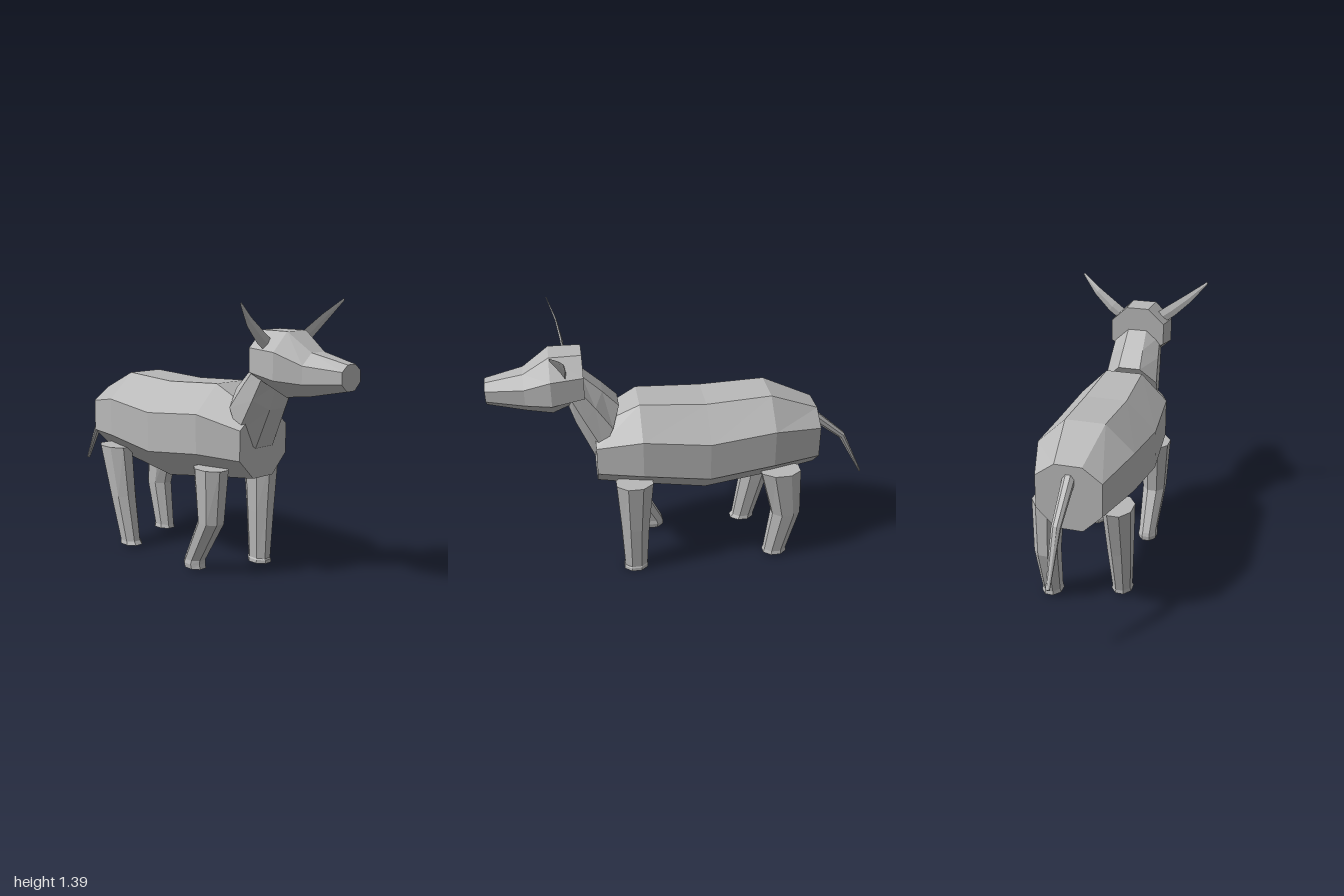
import * as THREE from 'three';

const hide = new THREE.MeshStandardMaterial({ color: 0xb8b8b8 });
hide.name = 'grey hide';

const K = 0.414; // corner ratio of a regular octagon
const OCTAGON = [[1, -K], [1, K], [K, 1], [-K, 1], [-1, K], [-1, -K], [-K, -1], [K, -1]];
const DIAMOND = [[1, 0], [0, 1], [-1, 0], [0, -1]];
const V = (x, y, z) => new THREE.Vector3(x, y, z);

// Cross-section placed at c, spanned by the half-axes u and v
function ring(c, u, v, outline = OCTAGON) {
  return outline.map(([a, b]) => c.clone().addScaledVector(u, a).addScaledVector(v, b));
}

// Upright octagon with its own heights for top, shoulders and bottom
function uprightRing([z, w, top, upper, lower, bottom]) {
  const f = w * K;
  return [V(w, lower, z), V(w, upper, z), V(f, top, z), V(-f, top, z),
    V(-w, upper, z), V(-w, lower, z), V(-f, bottom, z), V(f, bottom, z)];
}

// Faceted skin through the rings, closed by flat caps
function loft(name, rings) {
  const tris = [];
  const n = rings[0].length;
  for (let i = 0; i + 1 < rings.length; i++) {
    for (let j = 0; j < n; j++) {
      const k = (j + 1) % n;
      const a = rings[i][j], b = rings[i][k], c = rings[i + 1][k], d = rings[i + 1][j];
      tris.push([a, b, c], [a, c, d]);
    }
  }
  const first = rings[0], last = rings[rings.length - 1];
  for (let j = 1; j + 1 < n; j++) {
    tris.push([first[0], first[j + 1], first[j]], [last[0], last[j], last[j + 1]]);
  }
  // Turn the faces outward if the enclosed volume is negative
  let volume = 0;
  for (const [a, b, c] of tris) volume += a.dot(b.clone().cross(c));
  if (volume < 0) tris.forEach((t) => t.reverse());
  const geometry = new THREE.BufferGeometry().setFromPoints(tris.flat());
  geometry.computeVertexNormals();
  const mesh = new THREE.Mesh(geometry, hide);
  mesh.name = name;
  return mesh;
}

// Leg from horizontal rings: [y, z, half width in x, half depth in z]
function leg(name, side, stations) {
  return loft(name, stations.map(([y, z, rx, rz]) =>
    ring(V(side * (0.172 + 0.008 * y / 0.56), y, z), V(rx, 0, 0), V(0, 0, rz))));
}

// Ring in a tilted plane, between a back point and a front point in the yz plane
function tiltedRing([w, backY, backZ, frontY, frontZ]) {
  const centre = V(0, (backY + frontY) / 2, (backZ + frontZ) / 2);
  return ring(centre, V(w, 0, 0), V(0, (backY - frontY) / 2, (backZ - frontZ) / 2));
}

export function createModel() {
  const model = new THREE.Group();
  model.name = 'horned animal';

  // Barrel body: z, half width, top, upper side, lower side, bottom
  model.add(loft('body', [
    [0.48, 0.165, 0.85, 0.77, 0.62, 0.52],
    [0.25, 0.24, 0.97, 0.83, 0.63, 0.495],
    [-0.09, 0.265, 0.95, 0.8, 0.595, 0.445],
    [-0.43, 0.245, 0.965, 0.83, 0.63, 0.49],
    [-0.69, 0.165, 0.855, 0.785, 0.615, 0.52],
  ].map(uprightRing)));

  // Neck
  model.add(loft('neck', [
    [0.147, 0.955, 0.35, 0.67, 0.485],
    [0.135, 1.04, 0.43, 0.87, 0.57],
    [0.125, 1.13, 0.525, 1.0, 0.61],
  ].map(tiltedRing)));

  // Head tapering to the muzzle
  model.add(loft('head', [
    [0.52, 0.15, 1.25, 1.17, 1.055, 1.01],
    [0.68, 0.16, 1.25, 1.16, 1.03, 0.945],
    [0.81, 0.11, 1.16, 1.105, 1.02, 0.96],
    [1.0, 0.066, 1.12, 1.09, 1.035, 1.0],
  ].map(uprightRing)));

  // Thin, swept horns: x, y, z, half height, half thickness
  for (const side of [1, -1]) {
    model.add(loft(side > 0 ? 'leftHorn' : 'rightHorn', [
      [0.1, 1.175, 0.605, 0.034, 0.007],
      [0.17, 1.225, 0.61, 0.034, 0.007],
      [0.265, 1.3, 0.63, 0.024, 0.005],
      [0.36, 1.385, 0.67, 0.006, 0.002],
    ].map(([x, y, z, h, t]) =>
      ring(V(side * x, y, z), V(-side * 0.62 * h, 0.78 * h, 0), V(-side * 0.3 * t, 0, t), DIAMOND))));
  }

  // Tail: y, z, half width, half thickness
  model.add(loft('tail', [
    [0.79, -0.67, 0.03, 0.028],
    [0.63, -0.865, 0.022, 0.018],
    [0.38, -0.995, 0.01, 0.006],
  ].map(([y, z, w, t]) => ring(V(0, y, z), V(w, 0, 0), V(0, 0.7 * t, -0.7 * t)))));

  // Legs with small flared feet
  model.add(leg('frontLeftLeg', 1, [
    [0.56, 0.295, 0.072, 0.095], [0.28, 0.3, 0.061, 0.073],
    [0.025, 0.302, 0.047, 0.06], [0.018, 0.303, 0.051, 0.064], [0, 0.303, 0.052, 0.064],
  ]));
  model.add(leg('frontRightLeg', -1, [
    [0.56, 0.295, 0.072, 0.095], [0.28, 0.293, 0.061, 0.068],
    [0.06, 0.172, 0.047, 0.056], [0.04, 0.168, 0.051, 0.058], [0.015, 0.172, 0.048, 0.06],
  ].map((s) => s)));
  model.add(leg('backLeftLeg', 1, [
    [0.56, -0.48, 0.072, 0.105], [0.285, -0.523, 0.061, 0.076],
    [0.035, -0.476, 0.047, 0.06], [0.015, -0.475, 0.052, 0.065],
  ]));
  model.add(leg('backRightLeg', -1, [
    [0.56, -0.475, 0.072, 0.105], [0.285, -0.42, 0.061, 0.076],
    [0.035, -0.367, 0.047, 0.06], [0.015, -0.36, 0.052, 0.068],
  ]));

  return model;
}
